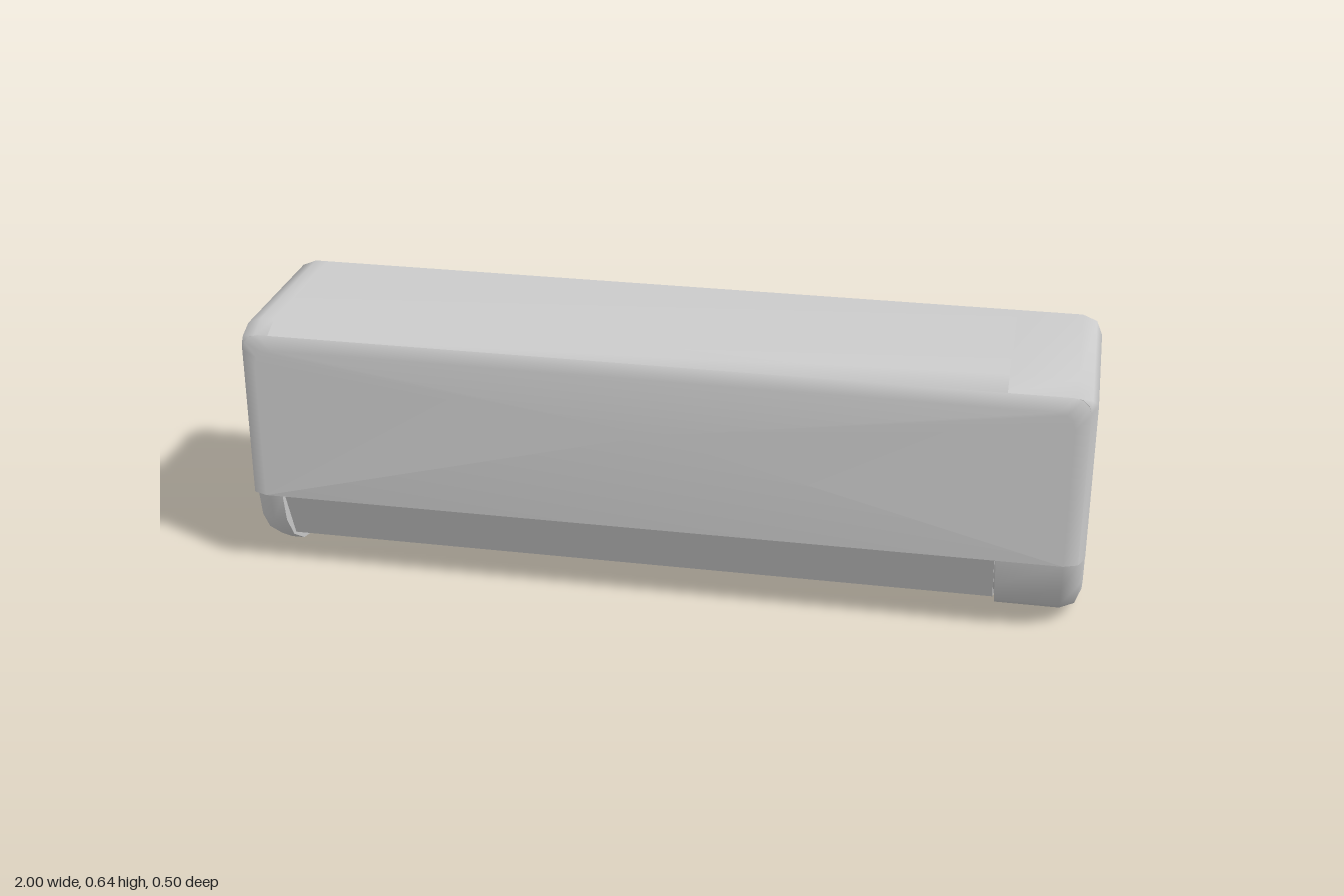
import * as THREE from 'three';

const VENT_LEFT = -0.92, VENT_RIGHT = 0.8, PANEL_BACK = 0.237;

// Cross-section of the casing: [z, y, core z, core y]; the core is the inset outline the rounded ends shrink to.
// Points listed twice make a hard edge.
const PROFILE = [
  [-0.202, 0, -0.202, 0.048], [-0.236, 0.014, -0.202, 0.048], [-0.25, 0.048, -0.202, 0.048],
  [-0.25, 0.592, -0.202, 0.592], [-0.236, 0.626, -0.202, 0.592], [-0.202, 0.64, -0.202, 0.592],
  [0.185, 0.64, 0.185, 0.585], [0.237, 0.617, 0.19, 0.585], [0.25, 0.585, 0.2, 0.58],
  [0.25, 0.203, 0.2, 0.203], [0.25, 0.203, 0.2, 0.203],
  [0.227, 0.193, 0.18, 0.193], [0.227, 0.193, 0.18, 0.193],
  [0.212, 0.12, 0.165, 0.13], [0.172, 0.06, 0.137, 0.095], [0.108, 0.017, 0.09, 0.063],
  [0.035, 0, 0.035, 0.048],
];
const VENT_POINTS = [11, 12, 13, 14, 15];

// Closed skin through rings of points, with a fan cap on both ends.
function loft(rings) {
  const n = rings[0].length;
  const points = rings.flat();
  const index = [];
  for (let r = 0; r < rings.length - 1; r++) {
    for (let j = 0; j < n; j++) {
      const a = r * n + j, b = r * n + (j + 1) % n;
      index.push(a, b, a + n, b, b + n, a + n);
    }
  }
  [0, rings.length - 1].forEach((r, end) => {
    const centre = new THREE.Vector3();
    rings[r].forEach((p) => centre.addScaledVector(p, 1 / n));
    const c = points.push(centre) - 1;
    for (let j = 0; j < n; j++) {
      const a = r * n + j, b = r * n + (j + 1) % n;
      index.push(c, end ? a : b, end ? b : a);
    }
  });
  const geometry = new THREE.BufferGeometry().setFromPoints(points);
  geometry.setIndex(index);
  geometry.computeVertexNormals();
  return geometry;
}

// Casing section at x; s = 1 is full size, s = 0 the core. The vent zone can be sunk.
function section(x, s = 1, sunk = false) {
  return PROFILE.map(([z, y, cz, cy], i) => {
    const k = sunk && VENT_POINTS.includes(i) ? 0.45 : s;
    return new THREE.Vector3(x, cy + (y - cy) * k, Math.min(cz + (z - cz) * k, PANEL_BACK));
  });
}

// Front panel outline: square bottom corners, rounded top corners.
function panelOutline(z, w, top) {
  const bottom = 0.203, r = 0.04;
  const pts = [[-w, bottom], [-w, bottom], [w, bottom], [w, bottom]];
  for (const side of [0, 1]) {
    for (let i = 0; i <= 3; i++) {
      const a = (side + i / 3) * Math.PI / 2;
      pts.push([(side ? -1 : 1) * (w - r) + r * Math.cos(a), top - r + r * Math.sin(a)]);
    }
  }
  return pts.map(([x, y]) => new THREE.Vector3(x, y, z));
}

export function createModel() {
  const model = new THREE.Group();
  const smooth = new THREE.MeshStandardMaterial({ color: 0xcccccc });
  const flat = new THREE.MeshStandardMaterial({ color: 0xcccccc, flatShading: true });
  const add = (name, geometry, material, parent = model) => {
    const mesh = new THREE.Mesh(geometry, material);
    mesh.name = name;
    parent.add(mesh);
  };

  // Casing: two rounded ends and a middle with the sunken vent
  const casing = new THREE.Group();
  casing.name = 'casing';
  model.add(casing);
  // doubled inner rings keep the vent walls crisp
  add('rightEnd', loft([
    section(-1, 0), section(-0.986, 0.707), section(-0.952),
    section(VENT_LEFT), section(VENT_LEFT),
  ]), smooth, casing);
  add('leftEnd', loft([
    section(VENT_RIGHT), section(VENT_RIGHT),
    section(0.952), section(0.986, 0.707), section(1, 0),
  ]), smooth, casing);
  add('middle', loft([
    section(VENT_LEFT, 1, true), section(VENT_LEFT, 1, true),
    section(VENT_RIGHT, 1, true), section(VENT_RIGHT, 1, true),
  ]), smooth, casing);

  // Front cover panel with chamfered sides and top
  add('frontPanel', loft([
    panelOutline(0.232, 0.985, 0.617),
    panelOutline(PANEL_BACK, 0.985, 0.617),
    panelOutline(0.25, 0.952, 0.585),
  ]), smooth);

  // Air flap closing the vent
  const flap = [[0.222, 0.192], [0.168, 0.064], [0.05, 0.004], [0.1, 0.12]];
  add('airFlap', loft([VENT_LEFT + 0.004, VENT_RIGHT - 0.004].map(
    (x) => flap.map(([z, y]) => new THREE.Vector3(x, y, z)))), flat);

  return model;
}
